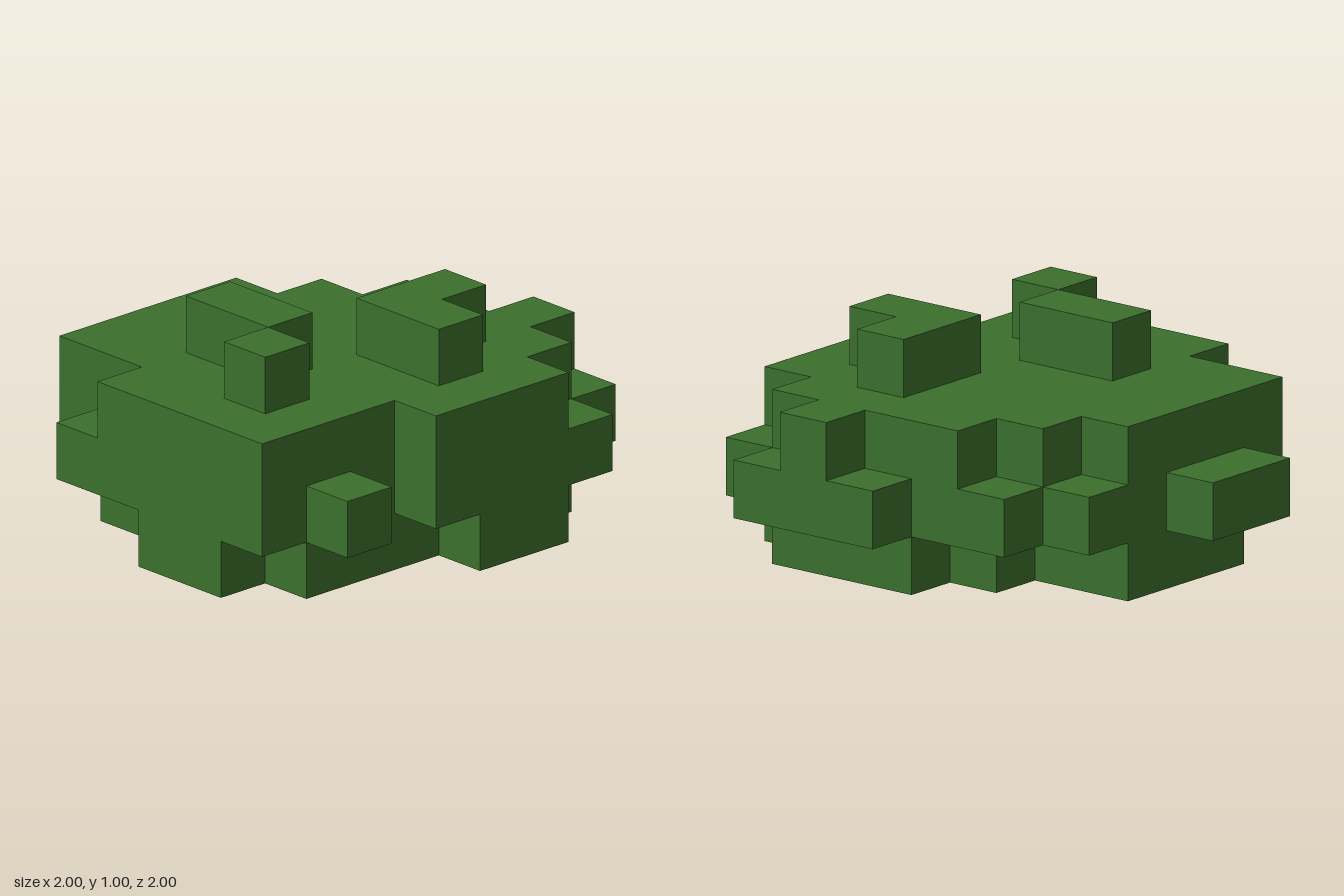
import * as THREE from 'three';
import { mergeGeometries } from 'three/addons/utils/BufferGeometryUtils.js';

const S = 0.25; // cube edge
const N = 8;    // cubes across the footprint

// Each layer, bottom to top: strips of cubes as [row from back, first column, last column]
const LAYERS = [
  [[1, 4, 6], [2, 3, 7], [3, 1, 7], [4, 1, 6], [5, 1, 6], [6, 2, 6], [7, 4, 5]],
  [[0, 4, 6], [1, 2, 7], [2, 1, 7], [3, 1, 7], [4, 0, 7], [5, 0, 6], [6, 1, 7], [7, 2, 6]],
  [[0, 5, 5], [1, 3, 6], [2, 2, 7], [3, 1, 7], [4, 1, 7], [5, 1, 6], [6, 1, 6], [7, 3, 6]],
  [[2, 5, 5], [3, 5, 6], [5, 3, 4], [6, 5, 5]],
];
const isTrunk = (x, y, z) => x === 4 && y === 0 && z === 4;

// One outward-facing square for each side of a cube
const SIDES = [[1, 0, 0], [-1, 0, 0], [0, 1, 0], [0, -1, 0], [0, 0, 1], [0, 0, -1]].map((dir) => {
  const normal = new THREE.Vector3(...dir);
  const turn = new THREE.Quaternion().setFromUnitVectors(new THREE.Vector3(0, 0, 1), normal);
  const face = new THREE.PlaneGeometry(S, S).applyQuaternion(turn)
    .translate(...normal.multiplyScalar(S / 2).toArray());
  return { dir, face };
});

// Skin of the cubes in a list, leaving out sides that touch another cube
function skin(cells, filled) {
  const faces = [];
  for (const [x, y, z] of cells) {
    for (const { dir, face } of SIDES) {
      if (filled.has([x + dir[0], y + dir[1], z + dir[2]].join())) continue;
      faces.push(face.clone().translate((x + 0.5 - N / 2) * S, (y + 0.5) * S, (z + 0.5 - N / 2) * S));
    }
  }
  return mergeGeometries(faces);
}

export function createModel() {
  const leafGreen = new THREE.MeshStandardMaterial({ name: 'leafGreen', color: 0x3b702d });
  const trunkBrown = new THREE.MeshStandardMaterial({ name: 'trunkBrown', color: 0x6b4a30 });

  const cells = [];
  LAYERS.forEach((strips, y) => {
    for (const [z, first, last] of strips) {
      for (let x = first; x <= last; x++) cells.push([x, y, z]);
    }
  });
  const filled = new Set(cells.map((c) => c.join()));

  const group = new THREE.Group();
  group.name = 'bush';
  const add = (name, list, material) => {
    const mesh = new THREE.Mesh(skin(list, filled), material);
    mesh.name = name;
    group.add(mesh);
  };

  // Leaf layers
  ['lowerLeaves', 'middleLeaves', 'upperLeaves', 'topTufts'].forEach((name, layer) => {
    add(name, cells.filter((c) => c[1] === layer && !isTrunk(...c)), leafGreen);
  });

  // Trunk end, flush with the underside
  add('trunk', cells.filter((c) => isTrunk(...c)), trunkBrown);

  return group;
}
